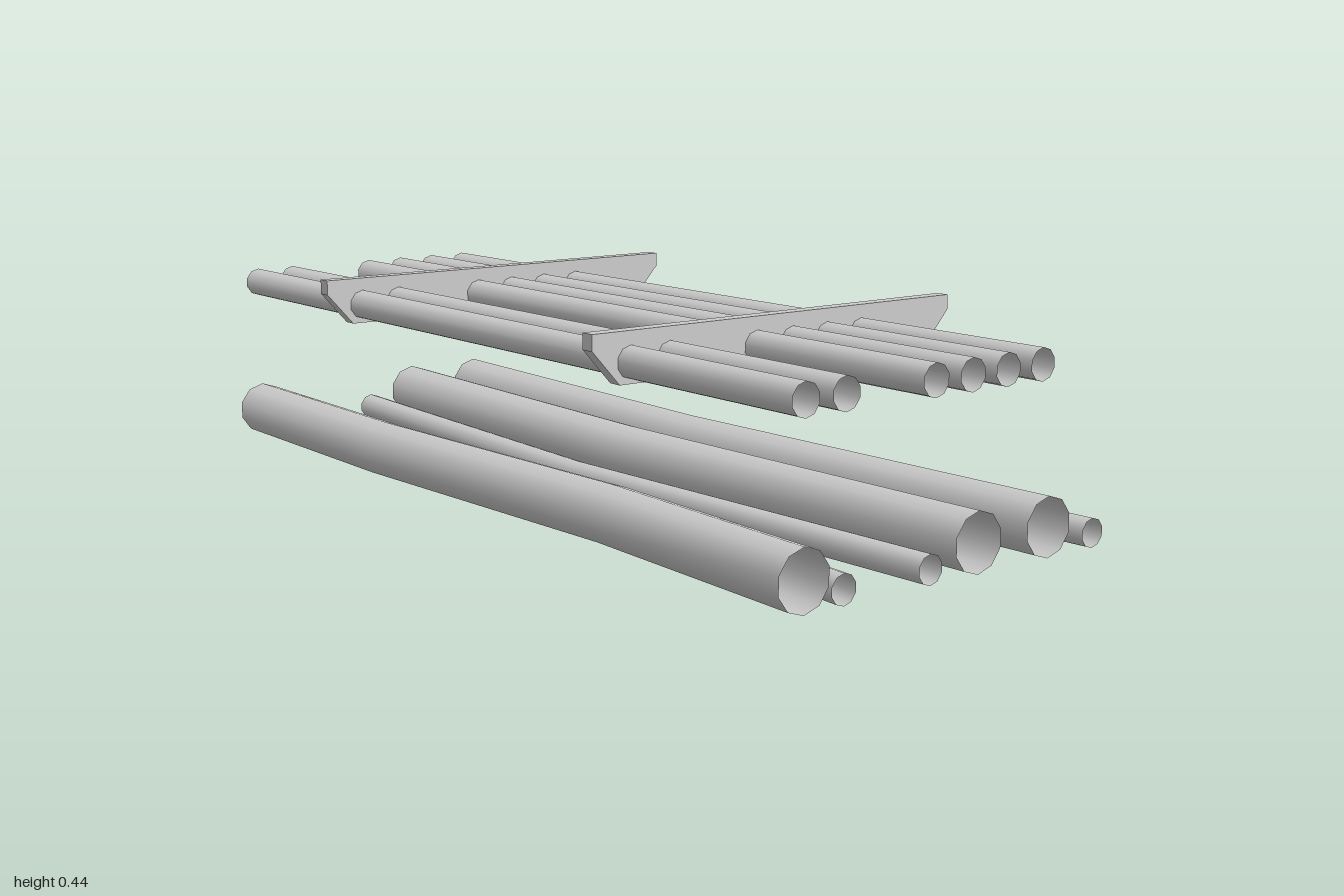
import * as THREE from 'three';

const SIDES = 10;
const pipeMaterial = new THREE.MeshStandardMaterial({ color: 0xcccccc, side: THREE.DoubleSide });
const plateMaterial = new THREE.MeshStandardMaterial({ color: 0xcccccc });

// Open-ended pipe along x; path is a list of [x, z] stations with one ring each
function makePipe(name, path, y, radius) {
  const positions = [];
  const index = [];
  path.forEach(([x, z], ring) => {
    for (let i = 0; i < SIDES; i++) {
      const t = (i / SIDES) * Math.PI * 2;
      positions.push(x, y + radius * Math.cos(t), z + radius * Math.sin(t));
      if (ring === 0) continue;
      const next = (i + 1) % SIDES;
      const a = (ring - 1) * SIDES + i;
      const b = ring * SIDES + i;
      const c = (ring - 1) * SIDES + next;
      const d = ring * SIDES + next;
      index.push(a, c, b, b, c, d);
    }
  });
  const geometry = new THREE.BufferGeometry();
  geometry.setAttribute('position', new THREE.Float32BufferAttribute(positions, 3));
  geometry.setIndex(index);
  geometry.computeVertexNormals();
  const mesh = new THREE.Mesh(geometry, pipeMaterial);
  mesh.name = name;
  return mesh;
}

// Upright hanger plate with its lower corners cut off
function makeHanger(x) {
  const thickness = 0.03;
  const shape = new THREE.Shape();
  shape.moveTo(-0.403, 0.335);
  shape.lineTo(0.403, 0.335);
  shape.lineTo(0.467, 0.405);
  shape.lineTo(0.467, 0.437);
  shape.lineTo(-0.467, 0.437);
  shape.lineTo(-0.467, 0.405);
  shape.closePath();
  const geometry = new THREE.ExtrudeGeometry(shape, { depth: thickness, bevelEnabled: false });
  geometry.translate(0, 0, -thickness / 2);
  geometry.rotateY(Math.PI / 2);
  const mesh = new THREE.Mesh(geometry, plateMaterial);
  mesh.name = 'hangerPlate';
  mesh.position.x = x;
  return mesh;
}

export function createModel() {
  const model = new THREE.Group();
  model.name = 'pipeRack';

  // Straight pipes carried by the hangers
  const upper = new THREE.Group();
  upper.name = 'upperPipes';
  for (const z of [0.377, 0.283, 0.065, -0.029, -0.122, -0.216]) {
    upper.add(makePipe('straightPipe', [[-1, z], [1, z]], 0.377, 0.0325));
  }
  model.add(upper);

  // Two hanger plates
  for (const x of [-0.5, 0.5]) model.add(makeHanger(x));

  // Slightly bent pipes lying on the ground
  const lower = new THREE.Group();
  lower.name = 'lowerPipes';
  const large = [
    [[-1, 0.375], [-0.38, 0.386], [0.42, 0.352], [1, 0.375]],
    [[-1, -0.057], [-0.02, -0.027], [1, -0.057]],
    [[-1, -0.248], [-0.03, -0.213], [1, -0.248]],
  ];
  const small = [
    [[-1, 0.281], [-0.63, 0.281], [-0.03, 0.217], [1, 0.281]],
    [[-1, 0.067], [-0.02, 0.115], [1, 0.067]],
    [[-1, -0.376], [-0.68, -0.368], [-0.04, -0.379], [0.68, -0.354], [1, -0.376]],
  ];
  for (const path of large) lower.add(makePipe('largeBentPipe', path, 0.061, 0.061));
  for (const path of small) lower.add(makePipe('smallBentPipe', path, 0.03, 0.03));
  model.add(lower);

  return model;
}
